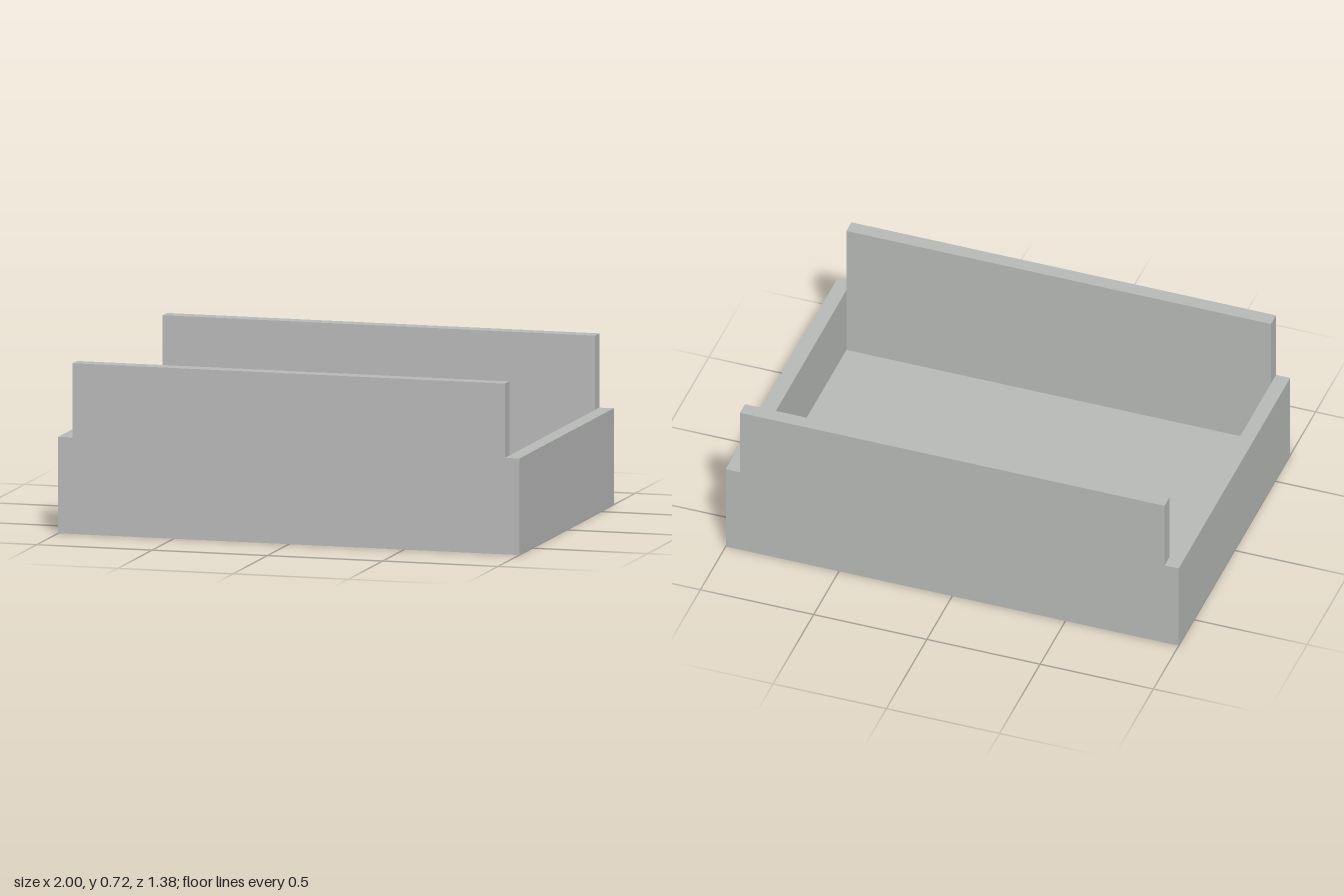
import * as THREE from 'three';

export function createModel() {
  const group = new THREE.Group();
  group.name = 'openTray';
  const grey = new THREE.MeshStandardMaterial({ color: 0xb8bab8 });
  grey.name = 'light grey';

  const U = 0.0625; // wall thickness
  const W = 32 * U, D = 22 * U; // footprint
  const highWall = 11.5 * U, lowWall = 6.5 * U, floorTop = 1.5 * U;

  // Box standing on y = 0
  function addBox(name, w, h, d, x, z) {
    const mesh = new THREE.Mesh(new THREE.BoxGeometry(w, h, d), grey);
    mesh.name = name;
    mesh.position.set(x, h / 2, z);
    group.add(mesh);
  }

  // Floor between the walls
  addBox('floor', W - 2 * U, floorTop, D - 2 * U, 0, 0);

  // Low side walls run the full depth, tall walls fit between them
  for (const s of [1, -1]) {
    addBox(s > 0 ? 'leftWall' : 'rightWall', U, lowWall, D, s * (W - U) / 2, 0);
    addBox(s > 0 ? 'frontWall' : 'backWall', W - 2 * U, highWall, U, 0, s * (D - U) / 2);
  }
  return group;
}
